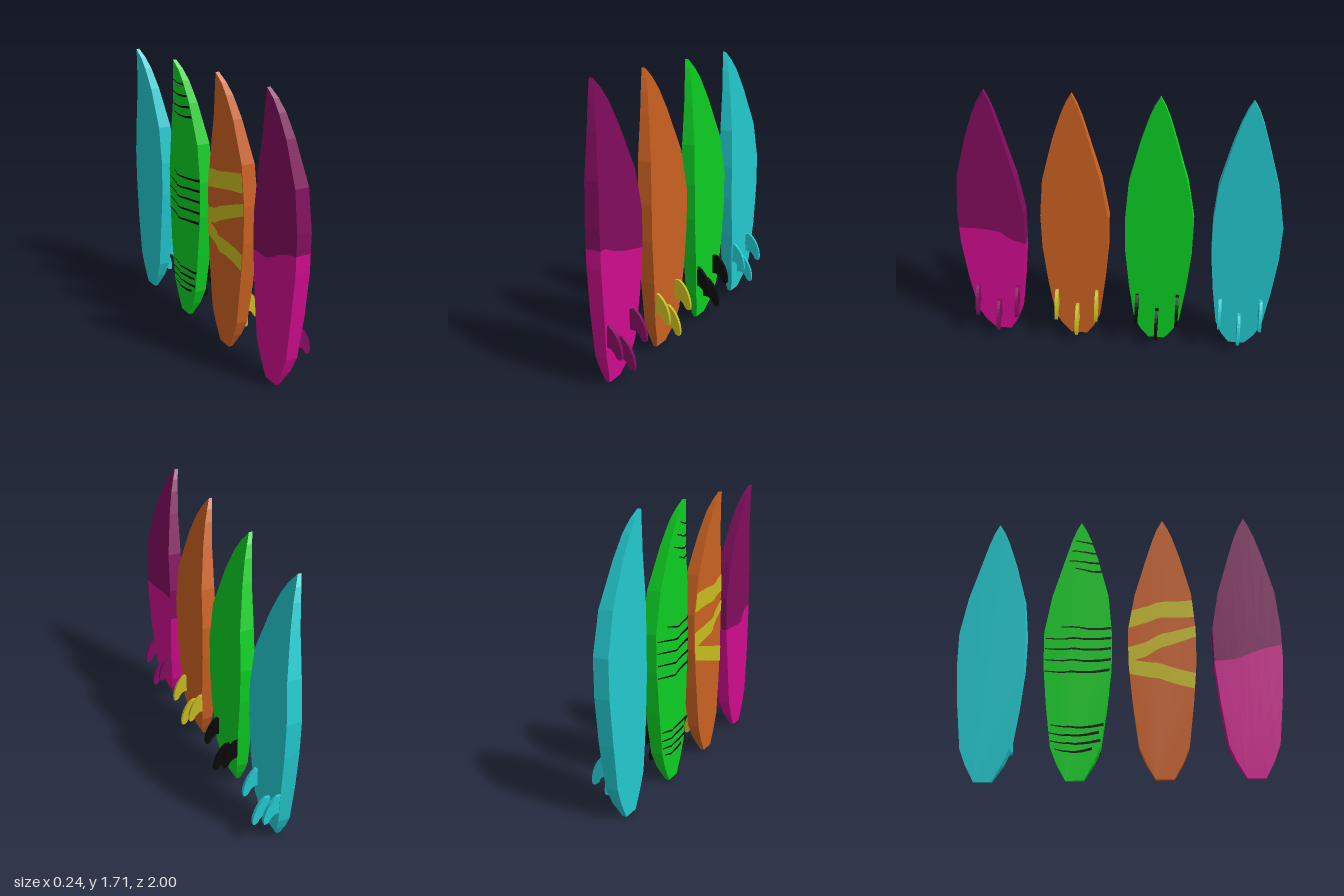
import * as THREE from 'three';

const mat = (name, color) => {
  const m = new THREE.MeshStandardMaterial({ color });
  m.name = name;
  return m;
};

// Outline stations: y, half width, sideways shift, deck x, bottom x
const STATIONS = [
  [0, 0.053, 0, -0.042, -0.018],
  [0.1, 0.108, 0, -0.043, 0.015],
  [0.2, 0.148, 0, -0.045, 0.03],
  [0.465, 0.182, 0, -0.045, 0.045],
  [0.73, 0.207, 0, -0.042, 0.05],
  [0.955, 0.21, 0, -0.042, 0.05],
  [1.2, 0.178, 0.012, -0.05, 0.036],
  [1.45, 0.108, 0.018, -0.07, -0.012],
  [1.58, 0.065, 0.018, -0.09, -0.045],
  [1.65, 0.035, 0.018, -0.104, -0.072],
];
const NOSE = [1.705, 0, 0.018, -0.122, -0.1];

// Closed ring of [deck point, bottom point] from one tail corner over the nose to the other
function outlineRing() {
  const pair = ([y, w, s, xd, xb], side) =>
    [xd, xb].map((x) => new THREE.Vector3(x, y, s + side * w));
  return [
    ...STATIONS.map((s) => pair(s, -1)),
    pair(NOSE, 0),
    ...[...STATIONS].reverse().map((s) => pair(s, 1)),
  ];
}

// Faces of one board as { points, normal }
function boardFaces() {
  const ring = outlineRing(), n = ring.length, tip = STATIONS.length;
  const deck = [], bottom = [], rail = [];
  const addPair = (a, b, c) => {
    bottom.push({ points: [a, b, c].map((i) => ring[i][1]), normal: new THREE.Vector3(1, 0, 0) });
    deck.push({ points: [a, c, b].map((i) => ring[i][0]), normal: new THREE.Vector3(-1, 0, 0) });
  };
  addPair(tip - 1, tip, tip + 1);
  const rest = [...ring.keys()].filter((i) => i !== tip);
  for (let i = 1; i < rest.length - 1; i++) addPair(rest[0], rest[i], rest[i + 1]);
  for (let i = 0; i < n; i++) {
    const [d0, b0] = ring[i], [d1, b1] = ring[(i + 1) % n];
    const normal = new THREE.Vector3().crossVectors(
      b1.clone().sub(d0), b0.clone().sub(d1)).normalize();
    rail.push({ points: [d0, d1, b1, b0], normal });
  }
  return { deck, bottom, rail };
}

// Cut faces to a convex counter-clockwise region given as [z, y] corners
function cut(faces, region) {
  return faces.map(({ points, normal }) => {
    let poly = points;
    region.forEach(([az, ay], k) => {
      const [bz, by] = region[(k + 1) % region.length];
      const side = (p) => (bz - az) * (p.y - ay) - (by - ay) * (p.z - az);
      const out = [];
      poly.forEach((p, i) => {
        const q = poly[(i + 1) % poly.length], sp = side(p), sq = side(q);
        if (sp >= 0) out.push(p);
        if (sp * sq < 0) out.push(p.clone().lerp(q, sp / (sp - sq)));
      });
      poly = out;
    });
    return { points: poly, normal };
  }).filter((f) => f.points.length > 2);
}

function facesMesh(name, faces, material, lift = 0) {
  const pos = [], nor = [];
  for (const { points, normal } of faces) {
    for (let i = 1; i < points.length - 1; i++) {
      for (const p of [points[0], points[i], points[i + 1]]) {
        pos.push(p.x + lift, p.y, p.z);
        nor.push(normal.x, normal.y, normal.z);
      }
    }
  }
  const g = new THREE.BufferGeometry();
  g.setAttribute('position', new THREE.Float32BufferAttribute(pos, 3));
  g.setAttribute('normal', new THREE.Float32BufferAttribute(nor, 3));
  const mesh = new THREE.Mesh(g, material);
  mesh.name = name;
  return mesh;
}

// Band made of [z, lower y, upper y] columns, as convex regions
const bandRegions = (cols) => cols.slice(1).map(([z1, l1, u1], i) => {
  const [z0, l0, u0] = cols[i];
  return [[z0, l0], [z1, l1], [z1, u1], [z0, u0]];
});
const cutBand = (faces, cols) => bandRegions(cols).flatMap((r) => cut(faces, r));

// Curved, swept-back fin; its lowest point is y = 0
function finGeometry() {
  const s = new THREE.Shape();
  s.moveTo(0.01, 0.187);
  s.lineTo(0.01, 0.06);
  s.lineTo(0.045, 0.06);
  s.quadraticCurveTo(0.075, 0.045, 0.085, 0.015);
  s.quadraticCurveTo(0.1, -0.004, 0.118, 0.004);
  s.quadraticCurveTo(0.126, 0.03, 0.115, 0.075);
  s.quadraticCurveTo(0.095, 0.15, 0.042, 0.187);
  const g = new THREE.ExtrudeGeometry(s, { depth: 0.02, bevelEnabled: false, curveSegments: 5 });
  return g.translate(0, 0, -0.01);
}

export function createModel() {
  const model = new THREE.Group();
  model.name = 'surfboards';
  const pink = mat('pink', 0xd00c8e), purple = mat('purple', 0x820d5e);
  const orange = mat('orange', 0xcb6222), yellow = mat('yellow', 0xc8bc20);
  const green = mat('green', 0x0dcf24), black = mat('black', 0x0a0a0a);
  const cyan = mat('cyan', 0x23cad0);
  const { deck, bottom, rail } = boardFaces();
  const hull = [...deck, ...bottom, ...rail];
  const finGeo = finGeometry();

  const addBoard = (name, z, finMaterial, meshes) => {
    const board = new THREE.Group();
    board.name = name;
    board.position.z = z;
    board.add(...meshes);
    // Two side fins and a lower centre fin
    for (const [finName, fy, fz] of [['sideFin', 0.202, 0.13], ['centreFin', 0.082, 0], ['sideFin', 0.202, -0.13]]) {
      const fin = new THREE.Mesh(finGeo, finMaterial);
      fin.name = finName;
      fin.position.set(0, fy, fz);
      board.add(fin);
    }
    model.add(board);
  };

  // Two-tone board with a wavy colour line
  const wave = [[-1, 0.738], [-0.21, 0.738], [-0.08, 0.743], [-0.04, 0.752], [0, 0.767],
    [0.06, 0.798], [0.12, 0.82], [0.21, 0.838], [1, 0.838]];
  addBoard('twoToneBoard', 0.79, purple, [
    facesMesh('lowerBody', cutBand(hull, wave.map(([z, y]) => [z, -1, y])), pink),
    facesMesh('upperBody', cutBand(hull, wave.map(([z, y]) => [z, y, 3])), purple),
  ]);

  // Broad painted bands on the deck
  const bands = [
    [[-0.25, 0.96, 1.08], [0, 1.02, 1.126], [0.25, 1.04, 1.16]],
    [[-0.25, 0.73, 0.83], [-0.1, 0.77, 0.865], [0, 0.82, 0.91], [0.25, 0.92, 0.99]],
    [[-0.25, 0.675, 0.77], [0, 0.61, 0.71], [0.25, 0.54, 0.645]],
  ];
  addBoard('bandedBoard', 0.267, yellow, [
    facesMesh('body', hull, orange),
    facesMesh('deckBands', bands.flatMap((b) => cutBand(deck, b)), yellow, -0.004),
  ]);

  // Thin tapering lines on the deck, in three clusters: y, start z, end z
  const lines = [
    [1.58, -0.02, 0.2], [1.51, -0.04, 0.2], [1.44, -0.06, 0.2], [1.38, -0.02, 0.2],
    [0.98, -0.1, 0.25], [0.91, -0.2, 0.25], [0.84, -0.2, 0.25], [0.765, -0.2, 0.25], [0.69, -0.2, 0.2],
    [0.34, -0.15, 0.18], [0.29, -0.16, 0.14], [0.24, -0.15, 0.15], [0.19, -0.12, 0.1],
  ];
  const lineFaces = lines.flatMap(([y, z0, z1]) => cutBand(deck, [0, 0.25, 0.5, 0.75, 1].map((t) => {
    const mid = y - 0.02 * Math.sin(Math.PI * t), half = 0.003 + 0.006 * t;
    return [z0 + (z1 - z0) * t, mid - half, mid + half];
  })));
  addBoard('linedBoard', -0.255, black, [
    facesMesh('body', hull, green),
    facesMesh('deckLines', lineFaces, black, -0.004),
  ]);

  addBoard('plainBoard', -0.79, cyan, [facesMesh('body', hull, cyan)]);
  return model;
}
